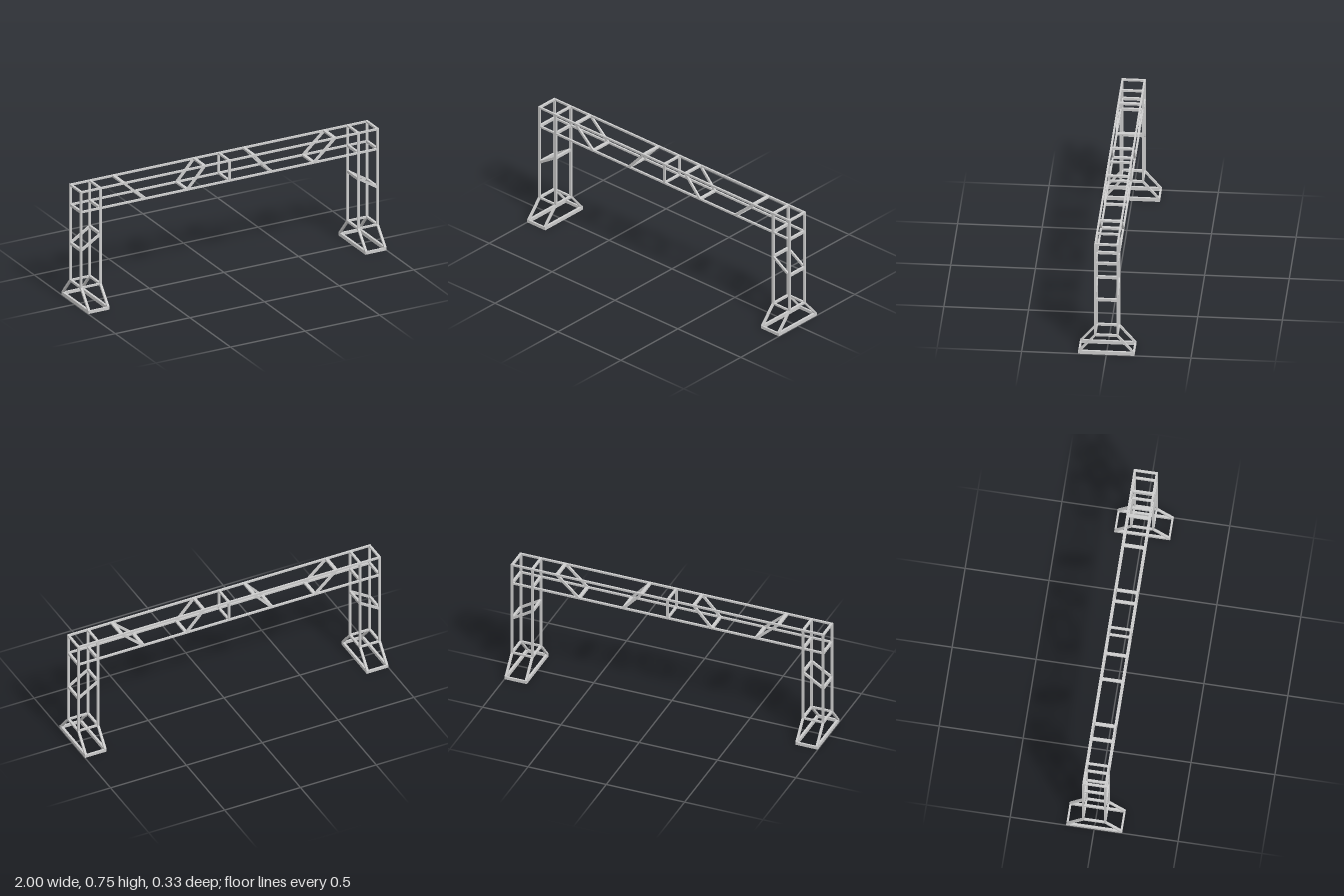
import * as THREE from 'three';

const T = 0.0115, W = 0.0145; // tube thickness across the depth and along the span
const OUT = 0.9928, IN = 0.8645; // leg post centres in x
const Z = 0.0655, FOOT_Z = 0.161; // half depths of truss and foot
const TOP = 0.74, LOW = 0.613, COLLAR = 0.129;

export function createModel() {
  const model = new THREE.Group();
  model.name = 'trussGantry';
  const steel = new THREE.MeshStandardMaterial({ color: 0xcccccc });
  steel.name = 'light grey steel';

  // Rectangular bar between two points
  function bar(parent, name, a, b, { width = T, height = T, extend = 0 } = {}) {
    const from = new THREE.Vector3(...a), to = new THREE.Vector3(...b);
    const mesh = new THREE.Mesh(new THREE.BoxGeometry(width, height, from.distanceTo(to) + extend), steel);
    mesh.name = name;
    mesh.position.copy(from).add(to).multiplyScalar(0.5);
    mesh.lookAt(to);
    parent.add(mesh);
  }

  // Pair of diagonals on the front and back, joined by flat cross bars
  function brace(parent, name, x1, y1, x2, y2, crossSize) {
    for (const z of [-Z, Z]) bar(parent, name + 'Diagonal', [x1, y1, z], [x2, y2, z], { height: W });
    for (const [x, y] of [[x1, y1], [x2, y2]]) {
      bar(parent, name + 'CrossBar', [x, y, -Z], [x, y, Z], crossSize);
    }
  }

  // Horizontal beam: four long chords and a centre frame
  const beam = new THREE.Group();
  beam.name = 'beam';
  model.add(beam);
  for (const z of [-Z, Z]) {
    for (const y of [LOW, TOP]) bar(beam, 'chord', [-OUT, y, z], [OUT, y, z], { extend: W });
    bar(beam, 'centrePost', [0, LOW, z], [0, TOP, z], { width: W });
  }
  for (const y of [LOW, TOP]) bar(beam, 'centreCrossBar', [0, y, -Z], [0, y, Z], { width: W });

  for (const s of [-1, 1]) {
    // Beam braces, mirrored about the centre
    brace(beam, 'outerBrace', s * 0.707, TOP, s * 0.566, LOW, { width: 0.021 });
    brace(beam, 'innerBrace', s * 0.166, TOP, s * 0.282, LOW, { width: 0.019 });

    // Leg posts with cross bars at the beam and collar
    const leg = new THREE.Group();
    leg.name = s > 0 ? 'leftLeg' : 'rightLeg';
    model.add(leg);
    for (const x of [s * IN, s * OUT]) {
      for (const z of [-Z, Z]) bar(leg, 'post', [x, COLLAR, z], [x, TOP, z], { width: W, extend: T });
      for (const [y, height] of [[COLLAR, 0.013], [LOW, 0.016], [TOP, T]]) {
        bar(leg, 'crossBar', [x, y, -Z], [x, y, Z], { width: W, height, extend: T });
      }
    }
    for (const z of [-Z, Z]) bar(leg, 'collarBar', [s * IN, COLLAR, z], [s * OUT, COLLAR, z]);
    brace(leg, 'legBrace', s * IN, 0.448, s * OUT, 0.368, { width: W, height: 0.017 });

    // Splayed foot on a rectangular base frame
    const foot = new THREE.Group();
    foot.name = s > 0 ? 'leftFoot' : 'rightFoot';
    model.add(foot);
    for (const x of [s * IN, s * OUT]) {
      bar(foot, 'baseSide', [x, 0.0105, -FOOT_Z], [x, 0.0105, FOOT_Z], { width: W, height: 0.021, extend: T });
      for (const t of [-1, 1]) {
        bar(foot, 'splayedStrut', [x, COLLAR, t * Z], [x, 0.017, t * FOOT_Z], { width: W });
      }
    }
    for (const z of [-FOOT_Z, FOOT_Z]) {
      bar(foot, 'baseEnd', [s * IN, 0.009, z], [s * OUT, 0.009, z], { height: 0.018 });
    }
  }
  return model;
}
